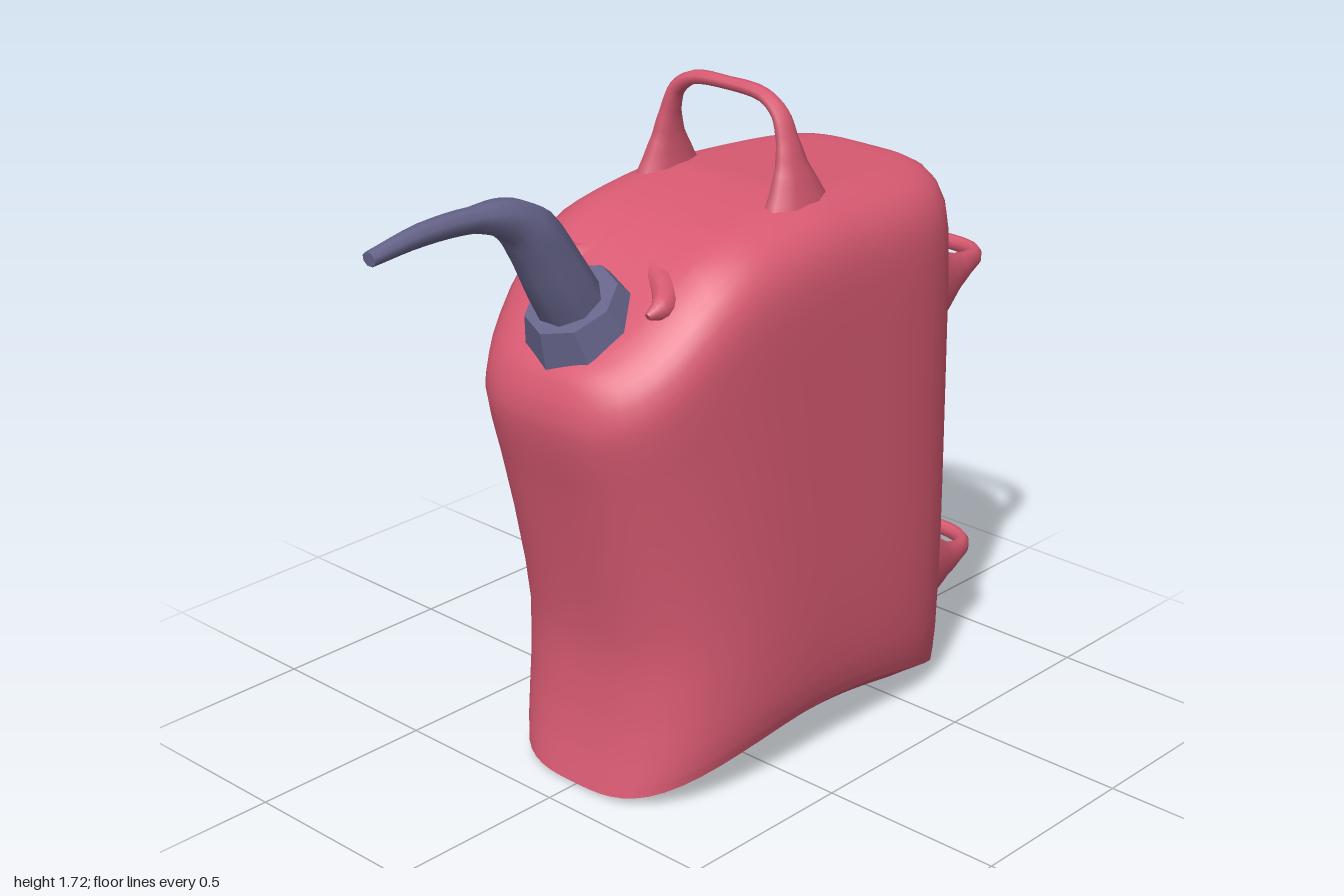
import * as THREE from 'three';

const red = new THREE.MeshStandardMaterial({ name: 'red plastic', color: 0xd85a72 });
const slate = new THREE.MeshStandardMaterial({ name: 'slate plastic', color: 0x66648a });

// Linear lookup: rows are [key, value, value, ...]
function sample(rows, k) {
  if (k <= rows[0][0]) return rows[0].slice(1);
  for (let i = 1; i < rows.length; i++) {
    const a = rows[i - 1], b = rows[i];
    if (k <= b[0]) {
      const t = (k - a[0]) / (b[0] - a[0]);
      return a.slice(1).map((v, j) => v + (b[j + 1] - v) * t);
    }
  }
  return rows[rows.length - 1].slice(1);
}

// Smooth skin over closed rings of points
function skin(rings) {
  const n = rings[0].length, index = [];
  for (let i = 0; i + 1 < rings.length; i++) {
    for (let j = 0; j < n; j++) {
      const a = i * n + j, b = i * n + (j + 1) % n, c = b + n, d = a + n;
      index.push(a, d, c, a, c, b);
    }
  }
  const geo = new THREE.BufferGeometry().setFromPoints(rings.flat());
  geo.setIndex(index);
  geo.computeVertexNormals();
  return geo;
}

// Tapered elliptical tube in the local xy plane; rows: [x, y, z, in-plane radius, z radius]
function loft(rows, steps, sides) {
  const path = new THREE.CatmullRomCurve3(rows.map(r => new THREE.Vector3(r[0], r[1], r[2])));
  const sizes = rows.map((r, i) => [i / (rows.length - 1), r[3], r[4]]);
  const rings = [];
  const addRing = (t, scale) => {
    const p = path.getPoint(t), d = path.getTangent(t), [ra, rb] = sample(sizes, t);
    const len = Math.hypot(d.x, d.y) || 1;
    rings.push(Array.from({ length: sides }, (_, j) => {
      const a = (j + 0.5) / sides * Math.PI * 2;
      const c = Math.cos(a) * ra * scale, s = Math.sin(a) * rb * scale;
      return new THREE.Vector3(p.x + d.y / len * c, p.y - d.x / len * c, p.z + s);
    }));
  };
  addRing(0, 0);
  addRing(0, 1);
  for (let i = 0; i <= steps; i++) addRing(i / steps, 1);
  addRing(1, 1);
  addRing(1, 0);
  return skin(rings);
}

// Body: top and bottom height along x, and outline per relative height
const topLine = [[-0.5, 1.15], [-0.43, 1.19], [-0.36, 1.245], [-0.28, 1.32], [-0.2, 1.385],
  [-0.1, 1.43], [0.02, 1.452], [0.17, 1.468], [0.4, 1.458], [0.7, 1.445]];
const outline = [ // relative height, left x, right x, half depth
  [0, -0.415, 0.75, 0.335], [0.03, -0.405, 0.742, 0.348], [0.08, -0.39, 0.735, 0.36],
  [0.16, -0.375, 0.73, 0.367], [0.28, -0.37, 0.73, 0.37], [0.4, -0.39, 0.73, 0.37],
  [0.55, -0.425, 0.73, 0.37], [0.7, -0.465, 0.73, 0.37], [0.8, -0.495, 0.73, 0.37],
  [0.88, -0.515, 0.728, 0.366], [0.93, -0.512, 0.725, 0.35], [0.965, -0.5, 0.718, 0.318],
  [0.985, -0.485, 0.705, 0.275], [0.996, -0.46, 0.68, 0.235], [1, -0.43, 0.64, 0.2]];
const SEG = 72;

function plan(xl, xr, hz) {
  const cx = (xl + xr) / 2, hx = (xr - xl) / 2;
  return Array.from({ length: SEG }, (_, j) => {
    const a = j / SEG * Math.PI * 2, c = Math.cos(a), s = Math.sin(a);
    const n = c > 0 ? 4.3 : 3.1;
    const r = 1 / Math.pow(Math.abs(c) ** n + Math.abs(s) ** n, 1 / n);
    return new THREE.Vector3(cx + hx * r * c, 0, hz * r * s);
  });
}
const bottomY = x => 0.14 - 0.13 * Math.min(1, ((x - 0.168) / 0.583) ** 2);

function bodyShell() {
  const level = (ring, v) => ring.map(p => {
    const b = bottomY(p.x);
    p.y = b + v * (sample(topLine, p.x)[0] - b);
    return p;
  });
  const rings = [];
  for (let i = 0; i + 1 < outline.length; i++) {
    for (let k = 0; k < 2; k++) {
      const v = outline[i][0] + (outline[i + 1][0] - outline[i][0]) * k / 2;
      rings.push(level(plan(...sample(outline, v)), v));
    }
  }
  // crown closes towards the middle of the top
  const [l, r, h] = outline[outline.length - 1].slice(1);
  for (let s = 10; s >= 0; s--) {
    const k = s / 10, m = 0.105;
    rings.push(level(plan(m + (l - m) * k, m + (r - m) * k, h * k), 1));
  }
  return skin(rings);
}

function bodyBase() {
  const [l, r, h] = outline[0].slice(1), m = (l + r) / 2;
  const rings = [0, 0.2, 0.4, 0.6, 0.75, 0.86, 1].map(k =>
    plan(m + (l - m) * k, m + (r - m) * k, h * k).map(p => {
      p.y = Math.max(0, bottomY(p.x) - (k < 1 ? 0.042 : 0));
      return p;
    }));
  return skin(rings);
}

// Loop handle with flared feet; skew shifts the feet sideways
function handleGeometry(skew) {
  const half = [
    [0.215, -0.04, skew, 0.05, 0.125], [0.21, 0.03, skew * 0.8, 0.036, 0.085],
    [0.203, 0.09, skew * 0.3, 0.027, 0.052], [0.192, 0.15, 0, 0.022, 0.034],
    [0.168, 0.21, 0, 0.02, 0.026], [0.115, 0.246, 0, 0.018, 0.022]];
  const mirrored = half.map(([x, ...rest]) => [-x, ...rest]).reverse();
  return loft([...half, [0, 0.254, 0, 0.016, 0.021], ...mirrored], 48, 8);
}

export function createModel() {
  const model = new THREE.Group();
  const add = (name, geo, mat) => {
    const mesh = new THREE.Mesh(geo, mat);
    mesh.name = name;
    model.add(mesh);
    return mesh;
  };
  const X = new THREE.Vector3(1, 0, 0), Y = new THREE.Vector3(0, 1, 0), Z = new THREE.Vector3(0, 0, 1);
  const orient = (mesh, a, b, c, x, y, z) => {
    mesh.quaternion.setFromRotationMatrix(new THREE.Matrix4().makeBasis(a, b, c));
    mesh.position.set(x, y, z);
  };

  add('canBody', bodyShell(), red);
  add('canBase', bodyBase(), red);

  // Handles: one on top, two on the side
  orient(add('topHandle', handleGeometry(0.012), red), Z.clone().negate(), Y, X, 0.147, 1.457, 0);
  orient(add('upperSideHandle', handleGeometry(-0.02), red), Z, X, Y, 0.73, 1.11, 0);
  orient(add('lowerSideHandle', handleGeometry(0.02), red), Z, X, Y, 0.73, 0.265, 0);

  // Raised lip around the uphill side of the spout collar
  const lipHalf = [[-0.04, -0.2, 0.035, 0.008, 0.01], [-0.09, -0.2, 0.015, 0.03, 0.04],
    [-0.15, -0.15, 0, 0.04, 0.05], [-0.185, -0.08, -0.005, 0.04, 0.045]];
  const lipMirror = lipHalf.map(([u, w, ...rest]) => [u, -w, ...rest]).reverse();
  const lip = add('spoutLip',
    loft([...lipHalf, [-0.195, 0, -0.005, 0.04, 0.042], ...lipMirror], 32, 10), red);
  const tilt = Math.PI / 6, c = Math.cos(tilt), s = Math.sin(tilt);
  orient(lip, new THREE.Vector3(-c, -s, 0), Z, new THREE.Vector3(-s, c, 0), -0.36, 1.24, 0);

  // Collar and bent spout
  const collarGeo = new THREE.CylinderGeometry(0.118, 0.155, 0.1, 8).toNonIndexed();
  collarGeo.computeVertexNormals();
  const collar = add('spoutCollar', collarGeo, slate);
  collar.rotation.z = tilt;
  collar.position.set(-0.37, 1.255, 0);

  add('spout', loft([
    [-0.36, 1.23, 0, 0.085, 0.088], [-0.44, 1.36, 0, 0.08, 0.08], [-0.525, 1.495, 0, 0.07, 0.065],
    [-0.595, 1.545, 0, 0.05, 0.052], [-0.7, 1.567, 0, 0.03, 0.035], [-0.85, 1.57, 0, 0.026, 0.029],
    [-1, 1.551, 0, 0.018, 0.021]], 24, 8), slate);

  return model;
}
